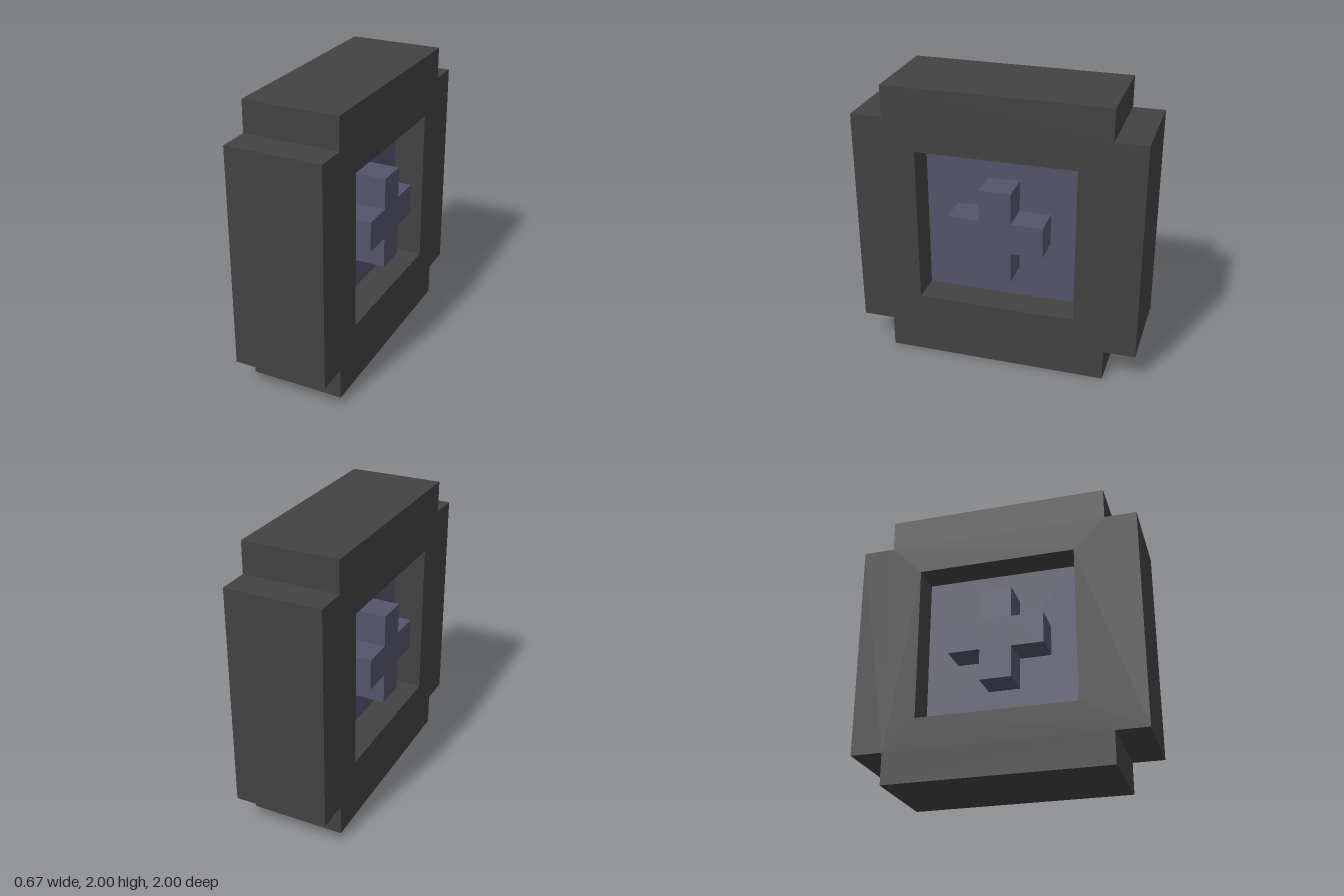
import * as THREE from 'three';

const U = 2 / 9; // modelling unit

// Square with its four corners notched out: half-size a, notch starts at b
const notchedSquare = (a, b) => new THREE.Shape(
  [[a, -b], [a, b], [b, b], [b, a], [-b, a], [-b, b], [-a, b], [-a, -b],
    [-b, -b], [-b, -a], [b, -a], [b, -b]].map(([x, y]) => new THREE.Vector2(x * U, y * U)));

// Extrude a profile along x, centred on the model
function slab(name, shape, depth, material) {
  const geometry = new THREE.ExtrudeGeometry(shape, { depth: depth * U, bevelEnabled: false });
  geometry.translate(0, 0, -depth * U / 2).rotateY(Math.PI / 2);
  const mesh = new THREE.Mesh(geometry, material);
  mesh.name = name;
  mesh.position.y = 1;
  return mesh;
}

export function createModel() {
  const charcoal = new THREE.MeshStandardMaterial({ color: 0x424242 });
  charcoal.name = 'charcoal';
  const slate = new THREE.MeshStandardMaterial({ color: 0x54546b });
  slate.name = 'slateBlue';

  const group = new THREE.Group();
  group.name = 'notchedWheel';

  // Outer ring with a square opening
  const ring = notchedSquare(4.5, 3.5);
  const h = 2.5 * U;
  ring.holes.push(new THREE.Path(
    [[-h, -h], [-h, h], [h, h], [h, -h]].map(([x, y]) => new THREE.Vector2(x, y))));
  group.add(slab('outerRing', ring, 3, charcoal));

  // Recessed plate closing the opening
  const plate = new THREE.Mesh(new THREE.BoxGeometry(U, 5 * U, 5 * U), slate);
  plate.name = 'hubPlate';
  plate.position.y = 1;
  group.add(plate);

  // Cross standing out on both sides, flush with the ring
  group.add(slab('hubCross', notchedSquare(1.5, 0.5), 3, slate));

  return group;
}
